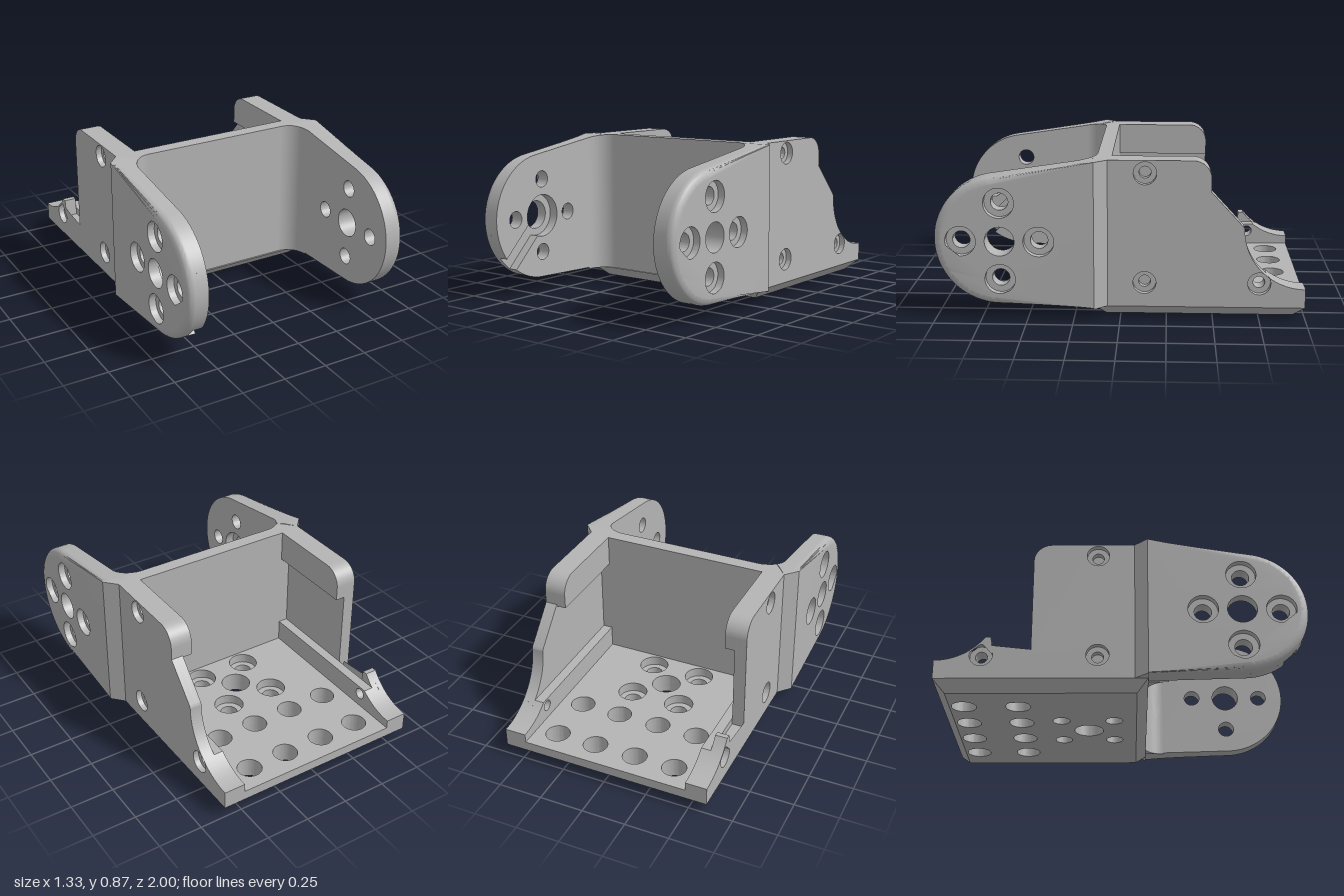
import * as THREE from 'three';
import { toCreasedNormals } from 'three/addons/utils/BufferGeometryUtils.js';

const HALF_PI = Math.PI / 2, RAD = Math.PI / 180;
// Pivot of the round arm end; side profiles use u = -z and y
const PU = -0.645, PY = 0.435, PR = 0.355;

export function createModel() {
  const group = new THREE.Group();
  const metal = new THREE.MeshStandardMaterial({ color: 0xb4b4b4 });
  metal.name = 'grey metal';

  const add = (name, geo) => {
    const mesh = new THREE.Mesh(toCreasedNormals(geo, 0.6), metal);
    mesh.name = name;
    group.add(mesh);
  };
  const extrude = (shape, depth, steps = 1) =>
    new THREE.ExtrudeGeometry(shape, { depth, steps, bevelEnabled: false, curveSegments: 28 });
  // Extrude a side profile between two x positions
  const slab = (shape, x0, x1, steps) =>
    extrude(shape, x1 - x0, steps).rotateY(HALF_PI).translate(x0, 0, 0);
  // Extrude a plan (x, -z) between two heights
  const plate = (shape, y0, y1) =>
    extrude(shape, y1 - y0).rotateX(-HALF_PI).translate(0, y0, 0);
  const mirrored = (side, a, b) => (side > 0 ? [a, b] : [-b, -a]);
  const punch = (shape, holes) => {
    for (const [x, y, r] of holes) {
      shape.holes.push(new THREE.Path().absarc(x, y, r, 0, Math.PI * 2, true));
    }
    return shape;
  };
  const moveVertices = (geo, rule) => {
    const p = geo.attributes.position, v = new THREE.Vector3();
    for (let i = 0; i < p.count; i++) {
      rule(v.fromBufferAttribute(p, i));
      p.setXYZ(i, v.x, v.y, v.z);
    }
    return geo;
  };
  const rect = (x, u0, u1) => new THREE.Shape([[-x, u0], [x, u0], [x, u1], [-x, u1]]
    .map(([a, b]) => new THREE.Vector2(a, b)));

  // Floor: chamfered lower layer, upper layer with counterbores
  const floorHoles = (small) => {
    const list = [[0, 0.19, 0.082]];
    for (const x of [-0.355, -0.12, 0.12, 0.355]) list.push([x, 0.86, 0.068], [x, 0.565, 0.068]);
    for (const x of [-0.147, 0.147]) list.push([x, 0.34, small], [x, 0.045, small]);
    return list;
  };
  add('floor underside', moveVertices(plate(punch(rect(0.603, -0.14, 1), floorHoles(0.048)), 0, 0.06), (v) => {
    if (Math.abs(v.x) > 0.59 && v.y < 0.001) {
      v.x -= Math.sign(v.x) * 0.063;
      v.z -= v.z > 0 ? 0.06 : -0.06;
    }
  }));
  add('floor', plate(punch(rect(0.49, -0.1, 1), floorHoles(0.082)), 0.06, 0.115));

  // Cross wall with flared sides and inner fillets towards the arms
  const wall = new THREE.Shape();
  wall.moveTo(-0.603, -0.05).lineTo(0.603, -0.05).lineTo(0.603, -0.07)
    .lineTo(0.667, -0.14).lineTo(0.55, -0.14)
    .absarc(0.43, -0.25, 0.12, 0, HALF_PI, false)
    .absarc(-0.43, -0.25, 0.12, HALF_PI, Math.PI, false)
    .lineTo(-0.55, -0.14).lineTo(-0.667, -0.14).lineTo(-0.603, -0.07);
  add('crossWall', moveVertices(plate(wall, 0.06, 0.87), (v) => {
    if (v.y > 0.8 && v.z > 0.14) v.y -= (v.z - 0.14) * 0.148;
  }));

  // Arm outline, optionally with a cable groove running out from the hub
  const armShape = (boss, groove) => {
    const s = new THREE.Shape();
    const mid = 225 * RAD, outer = Math.asin(0.05 / PR), inner = Math.asin(0.05 / 0.12);
    s.moveTo(-0.14, 0.065).lineTo(-0.14, 0.87);
    if (groove) {
      s.absarc(PU, PY, PR, 98.4 * RAD, mid - outer, false);
      s.absarc(PU, PY, 0.12, mid - inner, mid + inner, true);
      s.absarc(PU, PY, PR, mid + outer, 268.4 * RAD, false);
    } else {
      s.absarc(PU, PY, PR, 98.4 * RAD, 268.4 * RAD, false);
      punch(s, [[PU, PY, 0.08]]);
    }
    const d = 0.21;
    return punch(s, [[PU + d, PY, boss], [PU - d, PY, boss], [PU, PY + d, boss], [PU, PY - d, boss]]);
  };
  // Rounds the outer edge of the arm's outside layer
  const roundEdge = (v) => {
    const t = Math.min(1, Math.max(0, (Math.abs(v.x) - 0.627) / 0.04));
    const inset = 0.04 * (1 - Math.sqrt(1 - t * t)) * Math.min(1, (v.z - 0.14) / 0.2);
    const dz = Math.max(0, v.z + PU), dy = v.y - PY, r = Math.hypot(dz, dy);
    if (r > 0.32) {
      v.z -= inset * dz / r;
      v.y -= inset * dy / r;
    }
  };

  // Side wall profiles
  const topCorner = (s) => s.lineTo(0.485, 0.77)
    .absarc(0.385, 0.77, 0.1, 0, HALF_PI, false).lineTo(-0.05, 0.87);
  const lowTab = (endAngle) => new THREE.Shape().moveTo(-0.05, 0.06).lineTo(1, 0.06)
    .absarc(1, 0.5, 0.335, 3 * HALF_PI, endAngle, true);
  const sideShape = (side, r) => {
    let s;
    if (side > 0) s = lowTab(Math.PI).lineTo(0.66, 0.51).lineTo(0.485, 0.7);
    else s = lowTab(3.775).lineTo(0.7, 0.3).lineTo(0.69, 0.2).lineTo(0.485, 0.2);
    topCorner(s);
    return punch(s, [[0.13, 0.8, r], [0.13, 0.195, r], [0.75, 0.195, r]]);
  };

  for (const side of [1, -1]) {
    const label = side > 0 ? 'left' : 'right';
    const layer = (name, shape, a, b) => add(label + name, slab(shape, ...mirrored(side, a, b)));

    // Arm layers from inside to outside
    layer('ArmInner', armShape(0.047, side < 0), 0.55, 0.605);
    layer('ArmMiddle', armShape(0.047, false), 0.605, 0.627);
    add(label + 'ArmOuter',
      moveVertices(slab(armShape(0.082, false), ...mirrored(side, 0.627, 0.667), 6), roundEdge));

    // Side wall with counterbored screw holes
    layer('SideOuter', sideShape(side, 0.062), 0.57, 0.603);
    layer('SideInner', sideShape(side, 0.032), 0.535, 0.57);

    // Thick top band and bottom rail on the inside
    const band = new THREE.Shape().moveTo(-0.05, 0.69).lineTo(0.485, 0.69);
    layer('TopBand', topCorner(band), 0.48, 0.535);
    const rail = lowTab(4.03).lineTo(-0.05, 0.24);
    layer('BottomRail', punch(rail, [[0.75, 0.195, 0.032]]), 0.48, 0.535);
  }
  return group;
}
